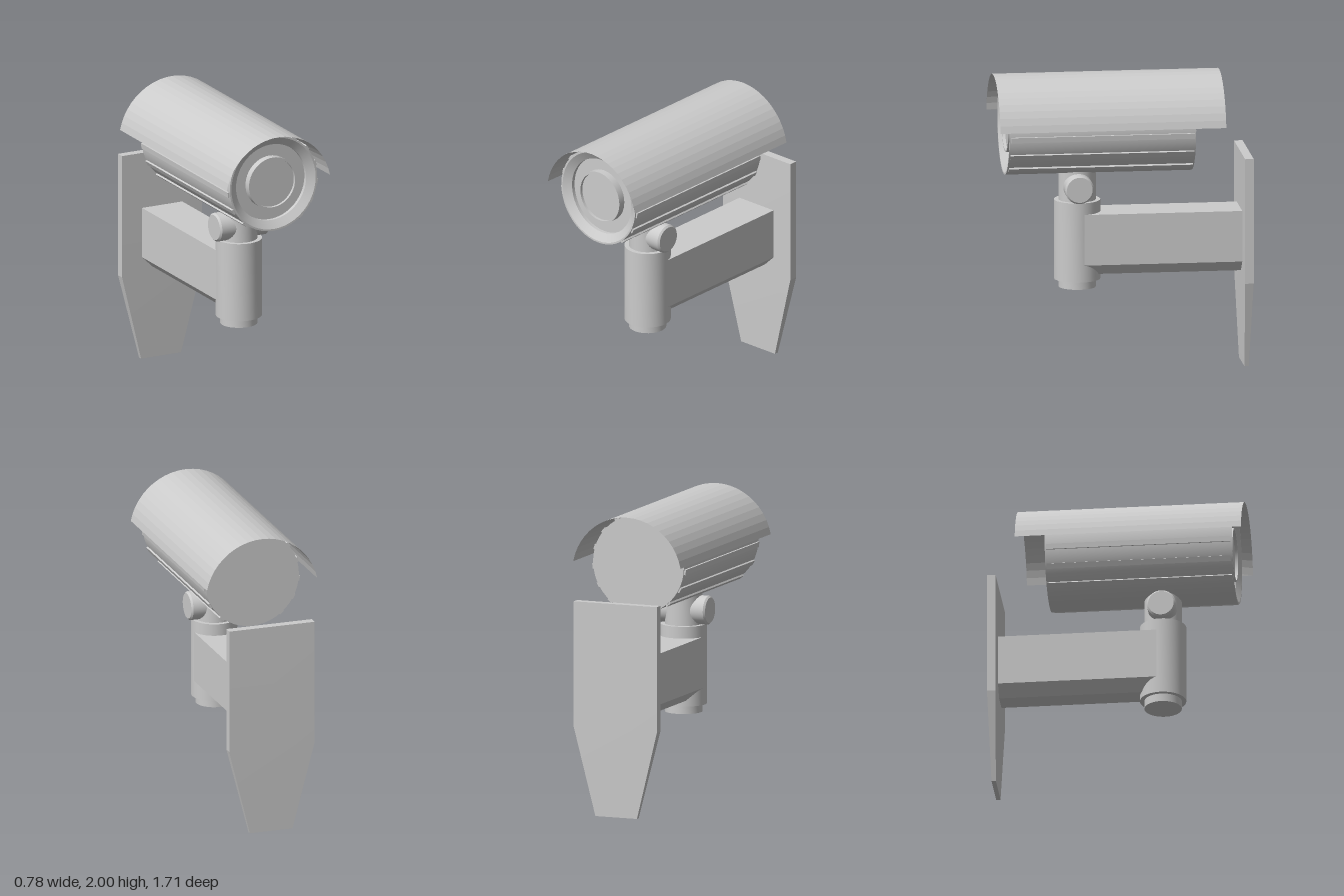
import * as THREE from 'three';
import { toCreasedNormals } from 'three/addons/utils/BufferGeometryUtils.js';

const AXIS_Y = 1.655;  // camera barrel axis height
const POLE_Z = 0.29;   // bracket post position
const rad = THREE.MathUtils.degToRad;

export function createModel() {
  const model = new THREE.Group();
  const grey = new THREE.MeshStandardMaterial({ color: 0xcccccc });
  const sheet = new THREE.MeshStandardMaterial({ color: 0xcccccc, side: THREE.DoubleSide, flatShading: true });

  function add(name, geometry, material = grey, x = 0, y = 0, z = 0) {
    const mesh = new THREE.Mesh(geometry, material);
    mesh.name = name;
    mesh.position.set(x, y, z);
    model.add(mesh);
    return mesh;
  }

  // Turned part from [radius, height] pairs, with crisp edges
  function turned(profile, segments = 40) {
    const points = profile.map(([r, h]) => new THREE.Vector2(r, h));
    return toCreasedNormals(new THREE.LatheGeometry(points, segments), rad(25));
  }

  // Open arched sheet between two arcs, each { r, y, z }
  function archSheet(a, b, segments = 22) {
    const positions = [], index = [];
    for (let i = 0; i <= segments; i++) {
      const t = rad(11.3 + (157.4 * i) / segments);
      for (const s of [a, b]) positions.push(s.r * Math.cos(t), s.y + s.r * Math.sin(t), s.z);
      if (i < segments) {
        const k = 2 * i;
        index.push(k, k + 2, k + 1, k + 1, k + 2, k + 3);
      }
    }
    const g = new THREE.BufferGeometry();
    g.setAttribute('position', new THREE.Float32BufferAttribute(positions, 3));
    g.setIndex(index);
    g.computeVertexNormals();
    return g;
  }

  // Camera barrel with dished bezel and lens ring
  add('cameraBarrel', turned([
    [0, -0.47], [0.33, -0.47], [0.33, 0.785], [0.318, 0.785], [0.265, 0.75], [0.265, 0.725],
    [0.18, 0.725], [0.18, 0.775], [0.168, 0.775], [0.168, 0.755], [0, 0.755],
  ], 48).rotateX(Math.PI / 2), grey, 0, AXIS_Y, 0);

  // Long ribs along the barrel, mirrored on both sides
  for (const side of [-1, 1]) {
    for (const deg of [-51, -28.5, -6, 16.5, 39, 61]) {
      const a = rad(deg);
      const rib = add('barrelRib', new THREE.BoxGeometry(0.03, 0.036, 1.235), grey,
        side * 0.326 * Math.cos(a), AXIS_Y + 0.326 * Math.sin(a), 0.157);
      rib.rotation.z = side * a;
    }
  }

  // Sun hood, and the flared lining that joins its front lip to the barrel
  const lip = { r: 0.398, y: 1.602, z: 0.852 };
  add('sunHood', archSheet(lip, { ...lip, z: -0.665 }), sheet);
  add('hoodLining', archSheet({ ...lip, r: 0.396 }, { r: 0.33, y: AXIS_Y, z: 0.5 }), sheet);

  // Swivel neck, post and foot
  add('swivelNeck', turned([[0, 1.12], [0.125, 1.12], [0.125, 1.39], [0, 1.39]]), grey, 0, 0, POLE_Z);
  add('post', turned([[0, 0.6], [0.155, 0.6], [0.155, 1.14], [0, 1.14]]), grey, 0, 0, POLE_Z);
  add('postFoot', turned([[0, 0.545], [0.125, 0.545], [0.125, 0.61], [0, 0.61]]), grey, 0, 0, POLE_Z);

  // Tilt knobs either side of the neck
  const knob = turned([[0, -0.19], [0.086, -0.19], [0.097, -0.178], [0.097, 0.178], [0.086, 0.19], [0, 0.19]]);
  add('tiltKnobs', knob.rotateZ(Math.PI / 2), grey, 0, 1.238, POLE_Z + 0.005);

  // Arm with chamfered lower edges
  const section = new THREE.Shape([
    [-0.152, 1.06], [-0.152, 0.715], [-0.075, 0.64], [0.075, 0.64], [0.152, 0.715], [0.152, 1.06],
  ].map(([x, y]) => new THREE.Vector2(x, y)));
  add('arm', new THREE.ExtrudeGeometry(section, { depth: 1.07, bevelEnabled: false }), grey, 0, 0, -0.81);

  // Wall plate: straight above, tapering in width and thickness below
  const plate = new THREE.BoxGeometry(0.604, 1, 0.058, 1, 2, 1);
  const p = plate.attributes.position;
  for (let i = 0; i < p.count; i++) {
    const y = p.getY(i);
    const low = y < -0.25;
    p.setXYZ(i, p.getX(i) * (low ? 0.5 : 1), low ? 0 : y < 0.25 ? 0.595 : 1.445, p.getZ(i) * (low ? 0.5 : 1));
  }
  add('wallPlate', toCreasedNormals(plate, rad(2)), grey, 0, 0, -0.831);

  return model;
}
